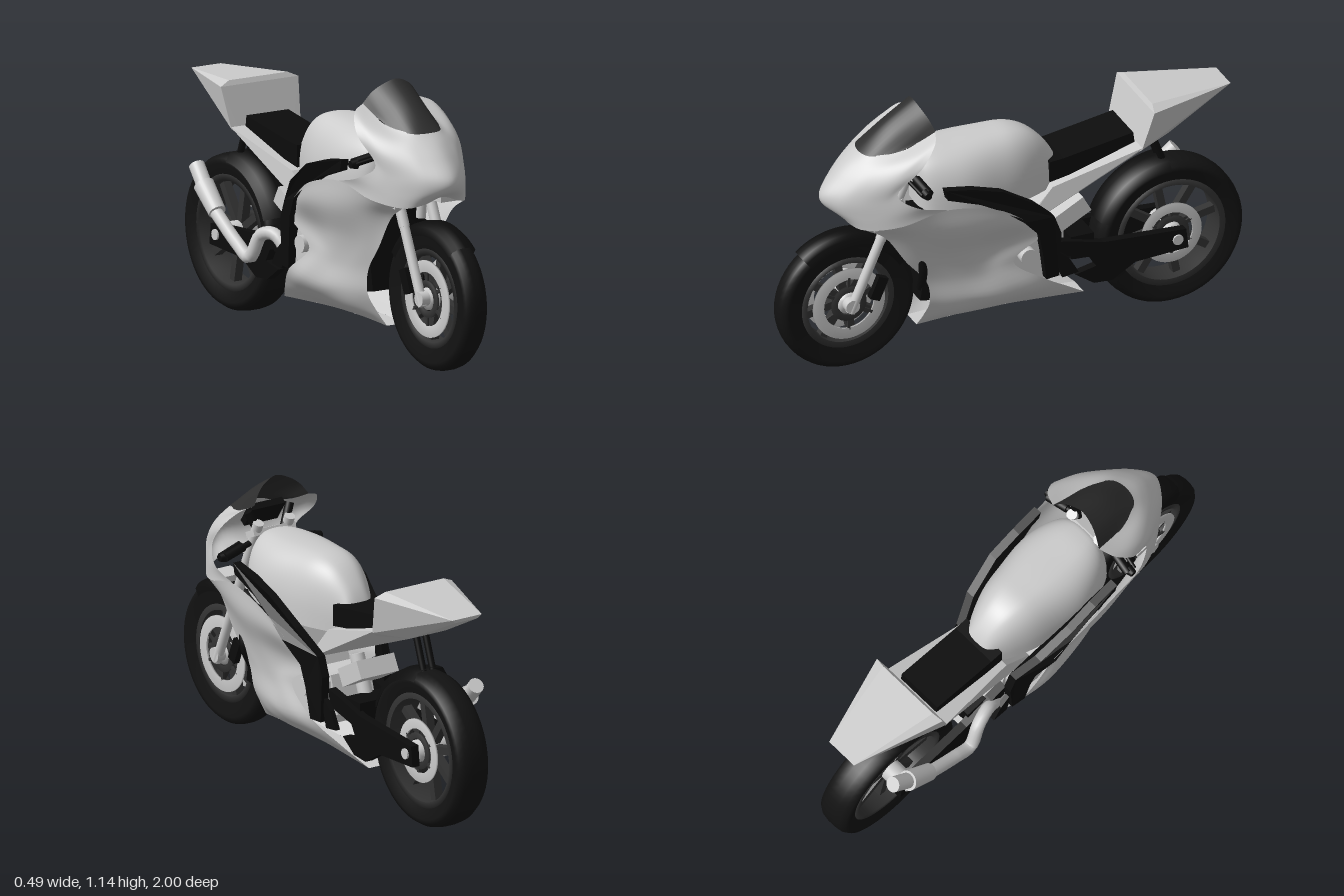
import * as THREE from 'three';
import { ConvexGeometry } from 'three/addons/geometries/ConvexGeometry.js';

const mat = (color) => new THREE.MeshStandardMaterial({ color, side: THREE.DoubleSide });
const V = (p) => new THREE.Vector3(...p);

// Smooth sheet through rows of points, splined in both directions
function loft(rows, nu = 24, nv = 24) {
  const across = rows.map((r) => new THREE.CatmullRomCurve3(r.map(V), false, 'catmullrom', 0.5));
  const pos = [], idx = [];
  for (let i = 0; i <= nu; i++) {
    const along = new THREE.CatmullRomCurve3(across.map((c) => c.getPoint(i / nu)), false, 'catmullrom', 0.5);
    for (let j = 0; j <= nv; j++) pos.push(...along.getPoint(j / nv).toArray());
  }
  for (let i = 0; i < nu; i++) for (let j = 0; j < nv; j++) {
    const a = i * (nv + 1) + j, b = a + nv + 1;
    idx.push(a, a + 1, b, b, a + 1, b + 1);
  }
  const g = new THREE.BufferGeometry();
  g.setAttribute('position', new THREE.Float32BufferAttribute(pos, 3));
  g.setIndex(idx);
  g.computeVertexNormals();
  return g;
}

// Row given from the centre outwards, completed with its mirror image
const mirrorRow = (half) => [...half.slice(1).reverse().map(([x, y, z]) => [-x, y, z]), ...half];

// Flat plate from a side outline of (z, y) points, centred on x
function plate(pts, x, depth) {
  const shape = new THREE.Shape(pts.map((p) => new THREE.Vector2(...p)));
  const g = new THREE.ExtrudeGeometry(shape, { depth, bevelEnabled: false });
  return g.translate(0, 0, -depth / 2).rotateY(-Math.PI / 2).translate(x, 0, 0);
}

// Cylinder between two points
function rod(a, b, r, r2 = r, seg = 20) {
  const p = V(a), d = V(b).sub(p);
  const g = new THREE.CylinderGeometry(r2, r, d.length(), seg).translate(0, d.length() / 2, 0);
  g.applyQuaternion(new THREE.Quaternion().setFromUnitVectors(new THREE.Vector3(0, 1, 0), d.clone().normalize()));
  return g.translate(p.x, p.y, p.z);
}
const tube = (pts, r) => new THREE.TubeGeometry(new THREE.CatmullRomCurve3(pts.map(V)), 40, r, 14);
const box = (w, h, d, x, y, z, tilt = 0) => new THREE.BoxGeometry(w, h, d).rotateX(tilt).translate(x, y, z);
// Ring turned about the x axis from (radius, x) points; the angle runs from +z upwards
const turn = (pts, from = 0, len = Math.PI * 2) =>
  new THREE.LatheGeometry(pts.map((p) => new THREE.Vector2(...p)), 56, from, len).rotateZ(Math.PI / 2);
const band = (r0, r1, w) => [[r0, -w], [r1, -w], [r1, w], [r0, w], [r0, -w]];

export function createModel() {
  const model = new THREE.Group();
  const grey = mat(0xcccccc), black = mat(0x0c0c0c), rubber = mat(0x121212), dark = mat(0x333333);
  const add = (name, geometry, material = grey, parent = model) => {
    const m = new THREE.Mesh(geometry, material);
    m.name = name;
    parent.add(m);
  };

  // Wheels
  function wheel(name, R, rimR, w, y, z, discR, discX) {
    const g = new THREE.Group();
    g.name = name;
    g.position.set(0, y, z);
    const side = [[rimR, w * 0.8], [R * 0.88, w], [R * 0.94, w * 0.95], [R * 0.985, w * 0.65], [R, w * 0.25]];
    add('tyre', turn([...side.map(([r, x]) => [r, -x]), ...side.reverse()]), rubber, g);
    add('rim', turn(band(rimR - 0.025, rimR + 0.005, w * 0.8)), dark, g);
    add('hub', turn([[0, -w], [0.045, -w], [0.045, w], [0, w]]), grey, g);
    for (let i = 0; i < 8; i++) {
      const s = new THREE.BoxGeometry(0.036, rimR - 0.04, 0.032).translate(0, rimR / 2 + 0.01, 0);
      add('spoke', s.rotateX((i * Math.PI) / 4 + 0.2), dark, g);
    }
    for (const x of discX) {
      add('brakeDisc', turn(band(discR * 0.7, discR, 0.004)).translate(x, 0, 0), grey, g);
      add('discCarrier', turn(band(0.05, 0.075, 0.005)).translate(x, 0, 0), dark, g);
      for (let i = 0; i < 6; i++) {
        const arm = new THREE.BoxGeometry(0.008, discR * 0.3, 0.012).translate(x, discR * 0.6, 0);
        add('discArm', arm.rotateX((i * Math.PI) / 3), dark, g);
      }
    }
    model.add(g);
  }
  wheel('frontWheel', 0.292, 0.2, 0.052, 0.307, 0.71, 0.155, [-0.05, 0.05]);
  wheel('rearWheel', 0.317, 0.235, 0.073, 0.32, -0.683, 0.13, [0.06]);
  add('frontFender', turn([[0.25, -0.058], [0.285, -0.055], [0.302, -0.035], [0.306, 0], [0.302, 0.035], [0.285, 0.055], [0.25, 0.058]],
    0.87, 1.75).translate(0, 0.31, 0.71), black);
  add('rearHugger', turn([[0.29, -0.08], [0.325, -0.06], [0.335, 0], [0.325, 0.06], [0.29, 0.08]],
    0.35, 1.2).translate(0, 0.32, -0.683), black);

  // Windscreen and nose cowl
  add('windscreen', loft([
    [[0, 1.14, 0.41], [0.06, 1.12, 0.4], [0.1, 1.09, 0.385], [0.13, 1.048, 0.37]],
    [[0, 1.06, 0.535], [0.06, 1.045, 0.52], [0.1, 1.025, 0.48], [0.123, 1.015, 0.435]],
    [[0, 0.962, 0.65], [0.06, 0.962, 0.634], [0.095, 0.968, 0.58], [0.116, 0.985, 0.51]],
  ].map(mirrorRow)), mat(0x2e2e2e));
  add('noseCowl', loft([
    [[0, 0.962, 0.65], [0.07, 0.965, 0.62], [0.116, 0.985, 0.51], [0.123, 1.015, 0.435], [0.13, 1.048, 0.37]],
    [[0, 0.92, 0.705], [0.08, 0.925, 0.665], [0.14, 0.94, 0.59], [0.185, 0.975, 0.49], [0.19, 1.02, 0.4]],
    [[0, 0.87, 0.755], [0.085, 0.87, 0.715], [0.145, 0.88, 0.65], [0.195, 0.9, 0.57], [0.222, 0.945, 0.47]],
    [[0, 0.8, 0.81], [0.08, 0.8, 0.765], [0.135, 0.8, 0.7], [0.18, 0.81, 0.62], [0.2, 0.84, 0.565]],
    [[0, 0.75, 0.8], [0.08, 0.745, 0.765], [0.145, 0.735, 0.69], [0.2, 0.75, 0.59], [0.235, 0.78, 0.49]],
    [[0, 0.72, 0.74], [0.08, 0.695, 0.73], [0.15, 0.68, 0.68], [0.215, 0.7, 0.55], [0.238, 0.745, 0.36]],
  ].map(mirrorRow), 40, 30));

  // Side fairing, rows from the top edge down to the belly, with a diagonal valley
  const fairing = [
    [[0.15, 0.68, 0.68], [0.215, 0.7, 0.55], [0.238, 0.745, 0.36], [0.24, 0.7, 0.15], [0.22, 0.6, 0]],
    [[0.145, 0.62, 0.59], [0.195, 0.625, 0.47], [0.23, 0.63, 0.3], [0.225, 0.61, 0.1], [0.185, 0.565, -0.05]],
    [[0.14, 0.49, 0.5], [0.162, 0.5, 0.4], [0.18, 0.5, 0.25], [0.17, 0.5, 0.09], [0.172, 0.51, -0.09]],
    [[0.13, 0.38, 0.41], [0.15, 0.38, 0.31], [0.162, 0.38, 0.2], [0.17, 0.4, 0.12], [0.17, 0.41, 0.05]],
    [[0.12, 0.28, 0.39], [0.15, 0.275, 0.28], [0.172, 0.27, 0.14], [0.183, 0.285, 0.02], [0.17, 0.3, -0.09]],
    [[0.08, 0.2, 0.4], [0.118, 0.2, 0.25], [0.122, 0.2, 0.05], [0.118, 0.205, -0.1], [0.11, 0.21, -0.21]],
    [[0.045, 0.143, 0.415], [0.045, 0.15, 0.25], [0.045, 0.15, 0.05], [0.045, 0.14, -0.15], [0.045, 0.13, -0.31]],
  ];

  for (const s of [1, -1]) {
    const at = (x, y, z) => [s * x, y, z];
    add('sideFairing', loft(fairing.map((r) => r.map(([x, y, z]) => at(x, y, z))), 28, 36));

    // Frame beam, swept inwards behind the tank
    const beam = plate([[0.37, 0.83], [0.25, 0.81], [0.12, 0.77], [-0.03, 0.67], [-0.13, 0.57], [-0.16, 0.49], [-0.15, 0.3],
      [-0.09, 0.3], [-0.07, 0.43], [-0.05, 0.52], [0.03, 0.61], [0.12, 0.68], [0.22, 0.735], [0.36, 0.785]], 0, 0.035);
    const p = beam.attributes.position;
    for (let i = 0; i < p.count; i++) {
      p.setX(i, p.getX(i) + s * (0.15 + 0.065 * THREE.MathUtils.smoothstep(p.getZ(i), -0.13, 0.04)));
    }
    beam.computeVertexNormals();
    add('frameBeam', beam, black);

    // Swingarm
    add('swingarm', plate([[-0.14, 0.43], [-0.22, 0.415], [-0.36, 0.38], [-0.72, 0.36], [-0.73, 0.275], [-0.5, 0.26],
      [-0.4, 0.2], [-0.32, 0.205], [-0.24, 0.26], [-0.33, 0.28], [-0.3, 0.33], [-0.15, 0.36]], s * 0.105, 0.035), black);
    add('rearAxleBlock', rod(at(0.06, 0.32, -0.683), at(0.13, 0.32, -0.683), 0.022));
    add('footpegBracket', plate([[-0.13, 0.42], [-0.2, 0.36], [-0.24, 0.29], [-0.17, 0.28]], s * 0.145, 0.02), black);

    // Fork, front brake and controls
    add('forkSlider', rod(at(0.075, 0.28, 0.715), at(0.075, 0.6, 0.575), 0.02));
    add('forkTube', rod(at(0.075, 0.58, 0.584), at(0.075, 0.95, 0.422), 0.022));
    add('axleClamp', rod(at(0.055, 0.31, 0.71), at(0.093, 0.31, 0.71), 0.03));
    add('brakeCaliper', box(0.03, 0.1, 0.045, s * 0.065, 0.36, 0.59, -0.4), black);
    add('handlebar', rod(at(0.08, 0.86, 0.46), at(0.22, 0.83, 0.44), 0.012), black);
    add('grip', rod(at(0.13, 0.85, 0.453), at(0.225, 0.829, 0.439), 0.019), black);
    add('lever', rod(at(0.12, 0.855, 0.49), at(0.23, 0.83, 0.47), 0.008), black);
    add('leverGuard', rod(at(0.215, 0.828, 0.45), at(0.244, 0.828, 0.45), 0.022, 0.015), black);
    add('cowlStay', rod(at(0.06, 0.9, 0.44), at(0.1, 0.99, 0.46), 0.018), black);
    add('intakeDuct', box(0.11, 0.025, 0.1, s * 0.11, 0.685, 0.6));
    add('engineCover', rod(at(0.13, 0.41, -0.02), at(0.17, 0.41, -0.02), 0.035));
    add('tailStrut', rod(at(0.022, 0.8, -0.6), at(0.022, 0.64, -0.66), 0.014), black);
  }
  add('bellyPan', loft([-1, 0, 1].map((s) => fairing[6].map(([x, y, z]) => [s * x, y, z])), 16, 4));

  // Yokes, headstock and dash
  add('upperYoke', box(0.2, 0.025, 0.06, 0, 0.9, 0.445, 0.4));
  add('lowerYoke', box(0.2, 0.035, 0.06, 0, 0.73, 0.52, 0.4));
  add('headstock', rod([0, 0.7, 0.5], [0, 0.9, 0.41], 0.03));
  add('airDuct', rod([0, 0.61, 0.59], [0, 0.74, 0.6], 0.02));
  add('dash', box(0.16, 0.1, 0.03, 0, 0.96, 0.5, -0.6), black);

  // Radiator and engine
  add('radiator', box(0.25, 0.32, 0.04, 0, 0.45, 0.39, -0.15), black);
  add('radiatorHose', tube([[0.04, 0.6, 0.46], [0.11, 0.54, 0.45], [0.14, 0.45, 0.43], [0.1, 0.34, 0.42]], 0.018), black);
  add('crankcase', box(0.22, 0.18, 0.32, 0, 0.36, 0.04));
  add('cylinderBlock', box(0.22, 0.24, 0.16, 0, 0.53, 0.16, 0.3));
  add('gearbox', box(0.2, 0.16, 0.14, 0, 0.38, -0.08, 0.3));
  add('rearCylinderHead', box(0.18, 0.075, 0.15, 0, 0.515, -0.24, 0.5));
  add('shockAbsorber', rod([0, 0.36, -0.24], [0, 0.56, -0.16], 0.03));
  add('swingarmBridge', box(0.2, 0.1, 0.1, 0, 0.37, -0.28), black);

  // Fuel tank: arched sections of z, half width, base height, top height
  const tank = [[0.435, 0.02, 0.72, 0.8], [0.43, 0.1, 0.71, 0.9], [0.38, 0.155, 0.7, 0.925], [0.25, 0.187, 0.68, 0.932], [0.1, 0.17, 0.66, 0.937],
    [0, 0.15, 0.66, 0.935], [-0.08, 0.12, 0.66, 0.905], [-0.15, 0.085, 0.66, 0.84], [-0.19, 0.065, 0.67, 0.77], [-0.195, 0.01, 0.68, 0.72]];
  add('fuelTank', loft(tank.map(([z, w, b, t]) => Array.from({ length: 17 }, (_, i) => {
    const a = (i / 16) * Math.PI, c = Math.cos(a);
    return [w * Math.sign(c) * Math.abs(c) ** 0.75, b + (t - b) * Math.abs(Math.sin(a)) ** 0.75, z];
  })), 40, 50));

  // Seat and tail
  const hull = (pts) => new ConvexGeometry(pts.flatMap(([x, y, z]) => [V([x, y, z]), V([-x, y, z])]));
  add('seatPad', plate([[-0.14, 0.69], [-0.14, 0.78], [-0.2, 0.785], [-0.5, 0.835], [-0.51, 0.76]], 0, 0.2), black);
  add('seatUnit', hull([[0.125, 0.68, -0.14], [0.125, 0.52, -0.01], [0.12, 0.535, -0.01], [0.13, 0.74, -0.36],
    [0.165, 0.795, -0.52], [0.12, 0.712, -0.42], [0.085, 0.79, -0.66]]));
  add('tailHump', hull([[0.185, 0.95, -0.555], [0.14, 0.97, -0.565], [0.07, 0.945, -0.935], [0.055, 0.93, -0.93],
    [0.165, 0.785, -0.51], [0.12, 0.75, -0.5], [0.085, 0.79, -0.66]]));

  // Exhaust on the right side
  add('exhaustPipe', tube([[-0.06, 0.24, 0.1], [-0.1, 0.27, -0.12], [-0.13, 0.4, -0.25], [-0.15, 0.39, -0.32],
    [-0.165, 0.29, -0.38], [-0.165, 0.33, -0.47], [-0.166, 0.43, -0.62]], 0.027));
  add('silencer', rod([-0.165, 0.43, -0.61], [-0.155, 0.52, -0.72], 0.036, 0.042, 28));
  add('silencerTip', rod([-0.155, 0.51, -0.71], [-0.142, 0.585, -0.79], 0.032, 0.032, 28));
  return model;
}
